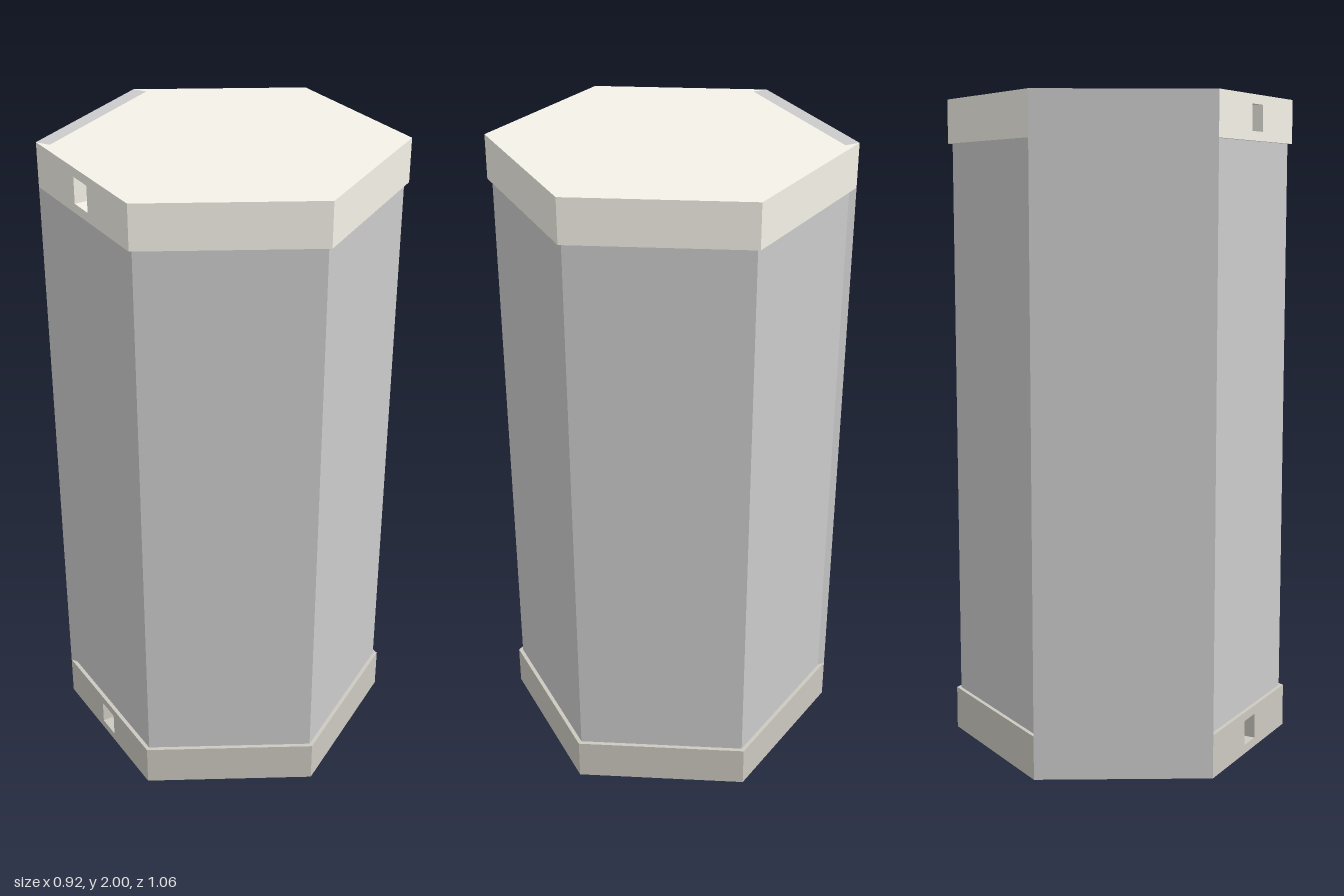
import * as THREE from 'three';

const R = 0.53, APOTHEM = R * Math.cos(Math.PI / 6);
const DOOR_T = 0.046, CAP_H = 0.133, HEIGHT = 2;
const SLOT_W = 0.076, SLOT_H = 0.078, SLOT_D = 0.05;

const material = (color) => new THREE.MeshStandardMaterial({ color, flatShading: true });

function addMesh(parent, name, geometry, mat) {
  const mesh = new THREE.Mesh(geometry, mat);
  mesh.name = name;
  parent.add(mesh);
  return mesh;
}

// Upright prism from an outline of [x, z] points
function prism(points, height) {
  const shape = new THREE.Shape(points.map(([x, z]) => new THREE.Vector2(x, -z)));
  return new THREE.ExtrudeGeometry(shape, { depth: height, bevelEnabled: false }).rotateX(-Math.PI / 2);
}

// Hexagonal end cap, rebated for the door and notched for the latch slot
function createCap(name, mat, y) {
  const cap = new THREE.Group();
  cap.name = name;
  const h = R / 2, w = SLOT_W / 2, dx = DOOR_T / 2, dz = DOOR_T * Math.cos(Math.PI / 6);
  addMesh(cap, 'capBlock', prism([
    [0, R], [APOTHEM, h], [APOTHEM, -h], [0, -R],
    [dx, -R + dz], [-APOTHEM + dx, -h + dz], [-APOTHEM, -h],
    [-APOTHEM, -w], [-APOTHEM + SLOT_D, -w], [-APOTHEM + SLOT_D, w], [-APOTHEM, w],
    [-APOTHEM, h],
  ], CAP_H), mat);

  // Strips closing the notch above and below the slot
  const strip = (CAP_H - SLOT_H) / 2;
  for (const [part, sy] of [['slotSill', strip / 2], ['slotHead', CAP_H - strip / 2]]) {
    addMesh(cap, part, new THREE.BoxGeometry(SLOT_D, strip, SLOT_W), mat)
      .position.set(-APOTHEM + SLOT_D / 2, sy, 0);
  }
  cap.position.y = y;
  return cap;
}

export function createModel() {
  const model = new THREE.Group();
  model.name = 'hexagonalCabinet';
  const grey = material(0xcccccc);

  // Body, slightly inset from the caps
  const bodyHeight = HEIGHT - 2 * CAP_H;
  addMesh(model, 'body', new THREE.CylinderGeometry(0.516, 0.516, bodyHeight, 6), grey)
    .position.y = HEIGHT / 2;

  model.add(createCap('bottomCap', material(0xccc9c0), 0));
  model.add(createCap('topCap', material(0xf5f2e8), HEIGHT - CAP_H));

  // Full-height door on the rear face
  const door = addMesh(model, 'door', new THREE.BoxGeometry(R, HEIGHT, DOOR_T), grey);
  const angle = Math.PI + Math.PI / 6, d = APOTHEM - DOOR_T / 2;
  door.rotation.y = angle;
  door.position.set(Math.sin(angle) * d, HEIGHT / 2, Math.cos(angle) * d);

  return model;
}
